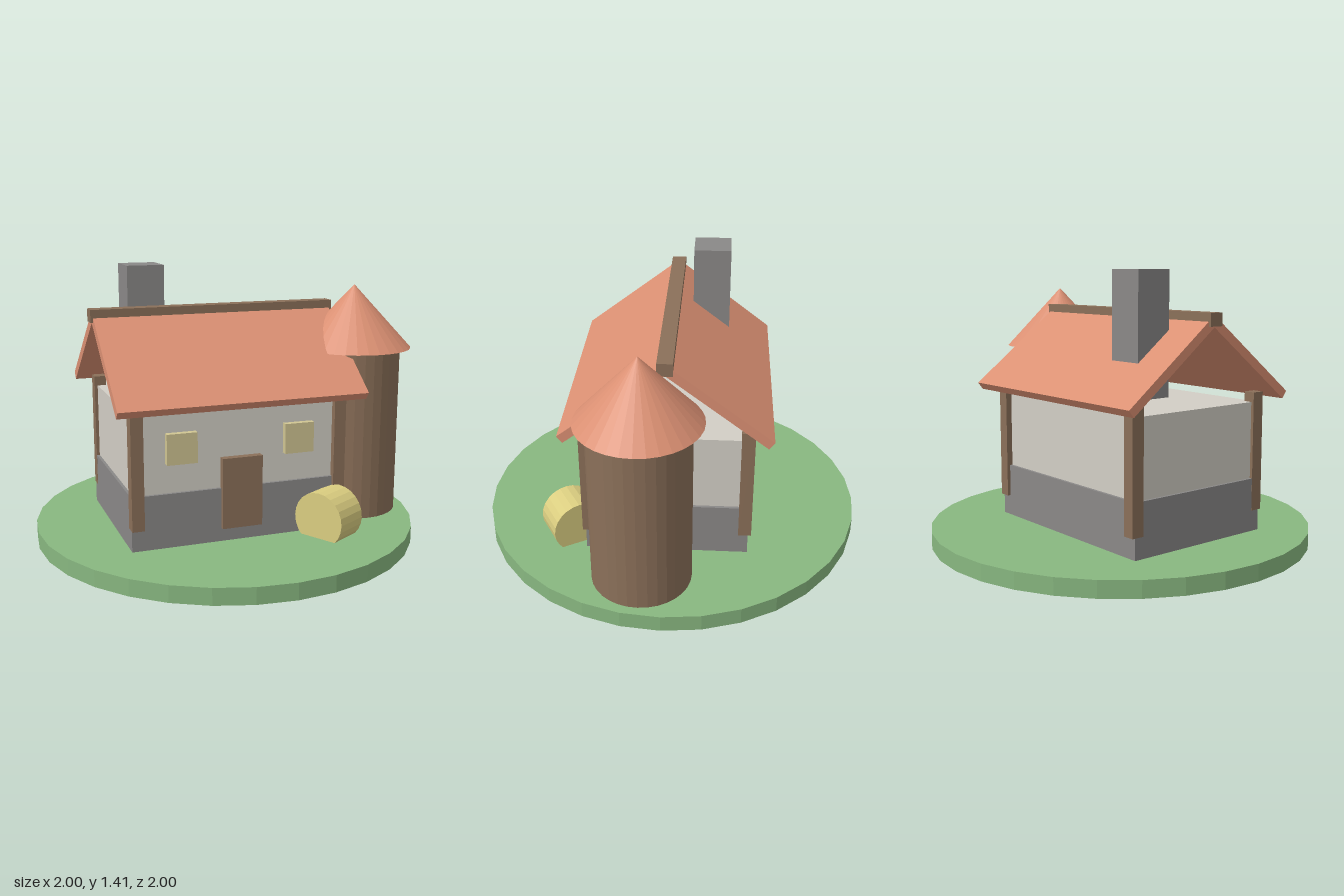
import * as THREE from 'three';

const paint = (name, color) => {
  const m = new THREE.MeshStandardMaterial({ color });
  m.name = name;
  m.flatShading = true;
  return m;
};

export function createModel() {
  const house = new THREE.Group();
  house.name = 'cottage';

  const grass = paint('grass green', 0x88b780);
  const stone = paint('stone grey', 0x8a8887);
  const plaster = paint('plaster white', 0xd2cec5);
  const wood = paint('wood brown', 0x8b7059);
  const tile = paint('roof terracotta', 0xdb9073);
  const glass = paint('window yellow', 0xd0c592);
  const straw = paint('straw yellow', 0xdacd80);

  const add = (name, geometry, material, x, y, z) => {
    const mesh = new THREE.Mesh(geometry, material);
    mesh.name = name;
    mesh.position.set(x, y, z);
    house.add(mesh);
    return mesh;
  };
  // Box given by its extents on each axis
  const box = (name, material, [x0, x1], [y0, y1], [z0, z1]) =>
    add(name, new THREE.BoxGeometry(x1 - x0, y1 - y0, z1 - z0), material,
      (x0 + x1) / 2, (y0 + y1) / 2, (z0 + z1) / 2);

  // Round ground
  add('ground', new THREE.CylinderGeometry(1, 1, 0.085, 32), grass, 0, 0.0425, 0);

  // House body
  box('stoneBase', stone, [-0.615, 0.5], [0.08, 0.36], [-0.413, 0.413]);
  box('plasterWalls', plaster, [-0.6, 0.485], [0.36, 0.752], [-0.398, 0.398]);

  // Corner posts
  for (const x of [-0.585, 0.47]) {
    for (const z of [-0.397, 0.397]) {
      box('cornerPost', wood, [x - 0.031, x + 0.031], [0.192, 0.802], [z - 0.033, z + 0.033]);
    }
  }

  // Two roof slopes, each a tilted slab from eave to ridge
  const pitch = 0.656, length = 0.64, thick = 0.045;
  const c = Math.cos(pitch), s = Math.sin(pitch);
  for (const side of [1, -1]) {
    const z = 0.517 - (length / 2) * c - (thick / 2) * s;
    const y = 0.806 + (length / 2) * s - (thick / 2) * c;
    const slope = add('roofSlope', new THREE.BoxGeometry(1.275, thick, length), tile, -0.057, y, side * z);
    slope.rotation.x = side * pitch;
  }
  box('ridgeBeam', wood, [-0.708, 0.594], [1.152, 1.216], [-0.038, 0.038]);
  box('chimney', stone, [-0.487, -0.293], [0.805, 1.415], [-0.29, -0.097]);

  // Door and windows
  box('door', wood, [-0.16, 0.048], [0.155, 0.515], [0.39, 0.437]);
  for (const x of [-0.363, 0.248]) {
    box('window', glass, [x - 0.077, x + 0.077], [0.507, 0.66], [0.39, 0.43]);
  }

  // Round tower with cone roof
  add('tower', new THREE.CylinderGeometry(0.25, 0.25, 0.89, 32), wood, 0.692, 0.53, 0.112);
  add('towerRoof', new THREE.ConeGeometry(0.305, 0.33, 32), tile, 0.692, 1.138, 0.112);

  // Straw bale lying on its side
  const bale = new THREE.CylinderGeometry(0.14, 0.14, 0.185, 24);
  bale.rotateZ(Math.PI / 2);
  add('strawBale', bale, straw, 0.386, 0.18, 0.494).rotation.y = Math.PI / 6;

  return house;
}
